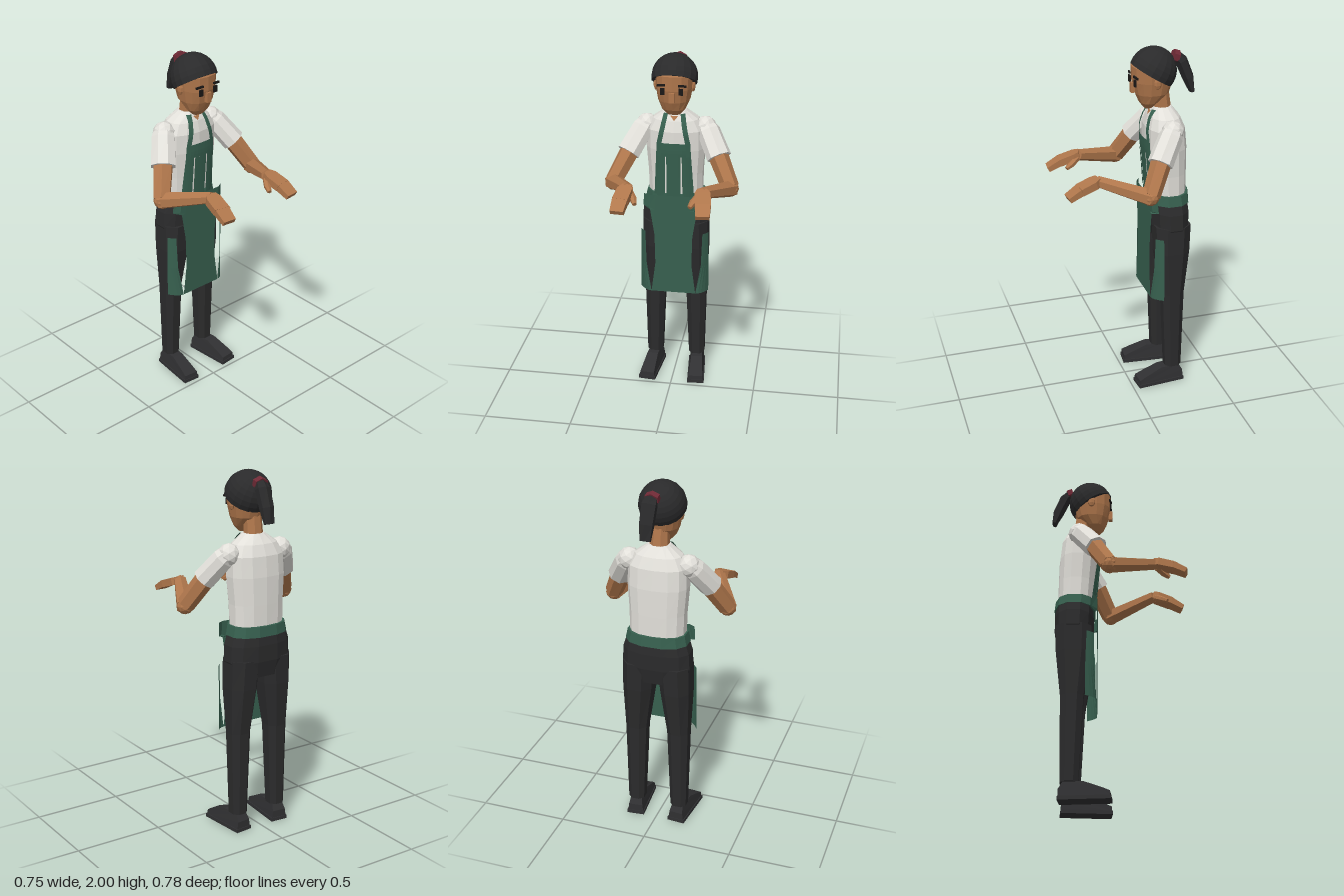
import * as THREE from 'three';

const mat = (name, color, side = THREE.FrontSide) =>
  Object.assign(new THREE.MeshStandardMaterial({ color, flatShading: true, side }), { name });
const V = (x, y, z) => new THREE.Vector3(x, y, z);

// Joins equal-sized rings of points into a surface; closed rings are capped at both ends.
function loft(rings, closed = true) {
  const pos = [], n = rings[0].length;
  const tri = (...p) => p.forEach(v => pos.push(v.x, v.y, v.z));
  for (let j = 0; j < rings.length - 1; j++) {
    for (let i = 0; i < (closed ? n : n - 1); i++) {
      const k = (i + 1) % n, a = rings[j], b = rings[j + 1];
      tri(a[i], a[k], b[k]);
      tri(a[i], b[k], b[i]);
    }
  }
  if (closed) {
    [rings[0], rings[rings.length - 1]].forEach((r, end) => {
      const c = r.reduce((s, p) => s.add(p), V(0, 0, 0)).divideScalar(n);
      r.forEach((p, i) => {
        const q = r[(i + 1) % n];
        end ? tri(c, p, q) : tri(c, q, p);
      });
    });
  }
  const g = new THREE.BufferGeometry();
  g.setAttribute('position', new THREE.Float32BufferAttribute(pos, 3));
  g.computeVertexNormals();
  return g;
}

// Upright body from rows of [y, centreX, halfWidth, zFront, zBack], bottom to top.
const POWER = 2.4;
function body(rows, sides) {
  const bend = v => Math.sign(v) * Math.abs(v) ** (2 / POWER);
  return loft(rows.map(([y, cx, rx, zf, zb]) => Array.from({ length: sides }, (_, i) => {
    const a = (i + 0.5) / sides * Math.PI * 2;
    return V(cx + rx * bend(Math.cos(a)), y, (zf + zb) / 2 - (zf - zb) / 2 * bend(Math.sin(a)));
  })));
}

// Limb through points of [x, y, z, halfWidth, halfThickness].
function limb(points, sides, up = V(0, 1, 0)) {
  const P = points.map(p => V(p[0], p[1], p[2]));
  const k = 1 / Math.cos(Math.PI / sides);
  return loft(P.map((c, j) => {
    const t = P[Math.min(j + 1, P.length - 1)].clone().sub(P[Math.max(j - 1, 0)]).normalize();
    const a = t.clone().cross(up).normalize(), b = t.clone().cross(a);
    return Array.from({ length: sides }, (_, i) => {
      const w = (i + 0.5) / sides * Math.PI * 2;
      return c.clone().addScaledVector(a, Math.cos(w) * points[j][3] * k)
        .addScaledVector(b, Math.sin(w) * points[j][4] * k);
    });
  }));
}

// Cloth sheet from rows of [y, x0, x1], placed in depth by zAt(x, y).
function sheet(rows, zAt, cols = 6, steps = 4) {
  const lines = [], mix = THREE.MathUtils.lerp;
  for (let j = 0; j < rows.length - 1; j++) {
    for (let s = j ? 1 : 0; s <= steps; s++) {
      const [y, x0, x1] = rows[j].map((v, i) => mix(v, rows[j + 1][i], s / steps));
      lines.push(Array.from({ length: cols + 1 }, (_, i) => {
        const x = mix(x0, x1, i / cols);
        return V(x, y, zAt(x, y));
      }));
    }
  }
  return loft(lines, false);
}

const TORSO = [
  [1.17, 0, 0.155, -0.135, -0.338], [1.30, 0, 0.157, -0.125, -0.338],
  [1.45, 0, 0.168, -0.113, -0.336], [1.56, 0, 0.165, -0.113, -0.325],
  [1.62, 0, 0.13, -0.13, -0.30], [1.67, 0, 0.06, -0.155, -0.26],
];

// Depth of the shirt front at a given x and y, plus a small offset.
const onShirt = offset => (x, y) => {
  let i = 0;
  while (i < TORSO.length - 2 && y > TORSO[i + 1][0]) i++;
  const t = (y - TORSO[i][0]) / (TORSO[i + 1][0] - TORSO[i][0]);
  const [, , rx, zf, zb] = TORSO[i].map((v, k) => THREE.MathUtils.lerp(v, TORSO[i + 1][k], t));
  const u = Math.min(Math.abs(x) / rx, 0.98);
  return (zf + zb) / 2 + (zf - zb) / 2 * (1 - u ** POWER) ** (1 / POWER) + offset;
};
const skirtZ = x => -0.113 - 0.06 * THREE.MathUtils.clamp((Math.abs(x) - 0.13) / 0.07, 0, 1) ** 2;

export function createModel() {
  const skin = mat('skin', 0xb0774c), shirt = mat('shirt', 0xe2e0da);
  const apron = mat('apron green', 0x37604f, THREE.DoubleSide);
  const trousers = mat('trousers', 0x2b2b2c), shoes = mat('shoes', 0x303032);
  const hair = mat('hair', 0x2a2a2b, THREE.DoubleSide), tie = mat('hair tie', 0x702a36);
  const ink = mat('eyes and brows', 0x1a1716);
  const neckSkin = mat('neckline skin', 0xb0774c, THREE.DoubleSide);
  const model = new THREE.Group();
  const add = (name, geo, material) => {
    const m = new THREE.Mesh(geo, material);
    m.name = name;
    model.add(m);
    return m;
  };
  const box = (name, material, w, h, d, x, y, z) =>
    add(name, new THREE.BoxGeometry(w, h, d), material).position.set(x, y, z);

  // Head and neck
  add('head', body([
    [1.668, 0, 0.035, -0.105, -0.15], [1.70, 0, 0.065, -0.08, -0.18],
    [1.75, 0, 0.088, -0.057, -0.24], [1.82, 0, 0.1, -0.04, -0.262],
    [1.90, 0, 0.106, -0.038, -0.265], [1.95, 0, 0.08, -0.07, -0.24],
  ], 14), skin);
  add('neck', limb([[0, 1.63, -0.212, 0.05, 0.047], [0, 1.77, -0.195, 0.047, 0.045]], 8, V(0, 0, 1)), skin);
  box('nose', skin, 0.03, 0.055, 0.022, 0, 1.785, -0.042);

  // Hair cap, tilted up at the forehead, and ponytail
  const R = 0.128, cut = Math.PI * 0.56;
  const cap = add('hairCap', new THREE.SphereGeometry(R, 18, 8, 0, Math.PI * 2, 0, cut), hair);
  cap.position.set(0, 1.868, -0.157);
  cap.scale.y = 1.03;
  cap.rotation.x = -0.55;
  const under = new THREE.Mesh(new THREE.CircleGeometry(R * Math.sin(cut), 18).rotateX(Math.PI / 2), hair);
  under.name = 'hairUnderside';
  under.position.y = R * Math.cos(cut);
  cap.add(under);
  add('hairTie', limb([[0.01, 1.945, -0.265, 0.036, 0.03], [0.012, 1.935, -0.295, 0.036, 0.03]], 6), tie);
  add('ponytail', limb([
    [0.012, 1.94, -0.285, 0.03, 0.025], [0.016, 1.915, -0.31, 0.038, 0.03],
    [0.018, 1.82, -0.35, 0.036, 0.028], [0.018, 1.74, -0.373, 0.028, 0.013],
  ], 6, V(0, 0, 1)), hair);

  // Shirt and neckline
  add('shirt', body(TORSO, 14), shirt);
  add('neckline', sheet([[1.625, -0.001, 0.001], [1.65, -0.022, 0.022]], onShirt(0.005), 2), neckSkin);

  // Trousers seat
  add('hips', body([
    [0.90, 0, 0.16, -0.16, -0.335], [0.99, 0, 0.197, -0.135, -0.353],
    [1.08, 0, 0.192, -0.13, -0.355], [1.18, 0, 0.16, -0.135, -0.345],
  ], 12), trousers);

  // Apron: belt, bib, front panel
  add('apronBelt', body([[1.13, 0, 0.178, -0.122, -0.358], [1.187, 0, 0.166, -0.122, -0.352]], 12), apron);
  add('bibTop', sheet([[1.42, -0.075, 0.075], [1.5, -0.068, 0.068]], onShirt(0.012)), apron);
  add('bibCentre', sheet([[1.17, -0.04, 0.04], [1.42, -0.04, 0.04]], onShirt(0.012)), apron);
  add('apronFront', sheet([
    [0.565, -0.13, 0.13], [0.75, -0.106, 0.106], [0.93, -0.11, 0.11],
    [1.09, -0.135, 0.135], [1.105, -0.178, 0.178], [1.18, -0.172, 0.172],
  ], skirtZ, 10, 1), apron);

  for (const s of [1, -1]) {
    const side = s > 0 ? 'left' : 'right';

    // Face details and ears
    box(side + 'Eye', ink, 0.024, 0.036, 0.009, s * 0.05, 1.82, -0.041);
    const brow = add(side + 'Brow', new THREE.BoxGeometry(0.045, 0.011, 0.009), ink);
    brow.position.set(s * 0.058, 1.853, -0.042);
    brow.rotation.set(0, s * 0.2, -s * 0.1);
    const ear = add(side + 'Ear', new THREE.SphereGeometry(1, 7, 5), skin);
    ear.scale.set(0.014, 0.034, 0.022);
    ear.position.set(s * 0.102, 1.825, -0.152);

    // Apron straps, bib edges and side panels
    add(side + 'Strap', sheet([
      [1.18, s * 0.088, s * 0.113], [1.5, s * 0.066, s * 0.094],
      [1.6, s * 0.046, s * 0.073], [1.662, s * 0.035, s * 0.06],
    ], onShirt(0.014), 2), apron);
    add(side + 'BibEdge', sheet([[1.17, s * 0.05, s * 0.1], [1.42, s * 0.047, s * 0.075]], onShirt(0.012), 3), apron);
    add(side + 'ApronPanel', sheet([
      [0.565, s * 0.13, s * 0.2], [0.75, s * 0.16, s * 0.2], [0.945, s * 0.166, s * 0.197],
    ], skirtZ, 4, 1), apron);

    // Arm: sleeve, forearm, hand
    const shoulder = add(side + 'Shoulder', new THREE.IcosahedronGeometry(0.062, 1), shirt);
    shoulder.position.set(s * 0.165, 1.57, -0.218);
    add(side + 'Sleeve', limb([
      [s * 0.16, 1.585, -0.225, 0.048, 0.045], [s * 0.185, 1.55, -0.2, 0.062, 0.058],
      [s * 0.255, 1.43, -0.118, 0.066, 0.06],
    ], 8), shirt);
    add(side + 'UpperArm', limb([
      [s * 0.24, 1.455, -0.135, 0.05, 0.048], [s * 0.328, 1.285, -0.045, 0.043, 0.044],
    ], 6), skin);
    const elbow = add(side + 'Elbow', new THREE.IcosahedronGeometry(0.048, 1), skin);
    elbow.position.set(s * 0.328, 1.28, -0.042);
    add(side + 'Forearm', limb([
      [s * 0.333, 1.277, -0.05, 0.044, 0.042], [s * 0.2, 1.352, 0.215, 0.031, 0.028],
    ], 6), skin);
    add(side + 'Palm', limb([
      [s * 0.2, 1.356, 0.205, 0.026, 0.022], [s * 0.208, 1.347, 0.235, 0.042, 0.021],
      [s * 0.22, 1.32, 0.315, 0.043, 0.02],
    ], 4), skin);
    add(side + 'Fingers', limb([
      [s * 0.22, 1.322, 0.312, 0.042, 0.019], [s * 0.227, 1.283, 0.383, 0.037, 0.014],
    ], 4), skin);
    add(side + 'Thumb', limb([
      [s * 0.185, 1.338, 0.225, 0.017, 0.017], [s * 0.16, 1.315, 0.262, 0.017, 0.016],
      [s * 0.147, 1.298, 0.293, 0.011, 0.011],
    ], 6), skin);

    // Leg
    add(side + 'Leg', body([
      [0.1, s * 0.127, 0.049, -0.2, -0.303], [0.58, s * 0.122, 0.064, -0.178, -0.312],
      [0.84, s * 0.108, 0.088, -0.137, -0.343], [1.0, s * 0.1, 0.094, -0.135, -0.35],
    ], 8), trousers);

    // Shoe, turned slightly outwards
    const foot = new THREE.Group();
    foot.name = side + 'Shoe';
    const profile = new THREE.Shape([
      [0.14, 0.018], [0.138, 0.045], [0.09, 0.066], [0, 0.1], [-0.11, 0.1], [-0.132, 0.06], [-0.132, 0.018],
    ].map(p => new THREE.Vector2(...p)));
    const upper = new THREE.ExtrudeGeometry(profile, { depth: 0.09, bevelEnabled: false })
      .translate(0, 0, -0.045).rotateY(-Math.PI / 2);
    const p = upper.attributes.position;
    for (let i = 0; i < p.count; i++) p.setX(i, p.getX(i) * (1 - 4 * Math.max(0, p.getY(i) - 0.03)));
    upper.computeVertexNormals();
    const sole = new THREE.BoxGeometry(0.1, 0.02, 0.28).translate(0, 0.01, 0.004);
    [[upper, 'upper'], [sole, 'sole']].forEach(([g, name]) => {
      const m = new THREE.Mesh(g, shoes);
      m.name = name;
      foot.add(m);
    });
    foot.position.set(s * 0.135, 0, -0.172);
    foot.rotation.y = s * 0.09;
    model.add(foot);
  }
  return model;
}
